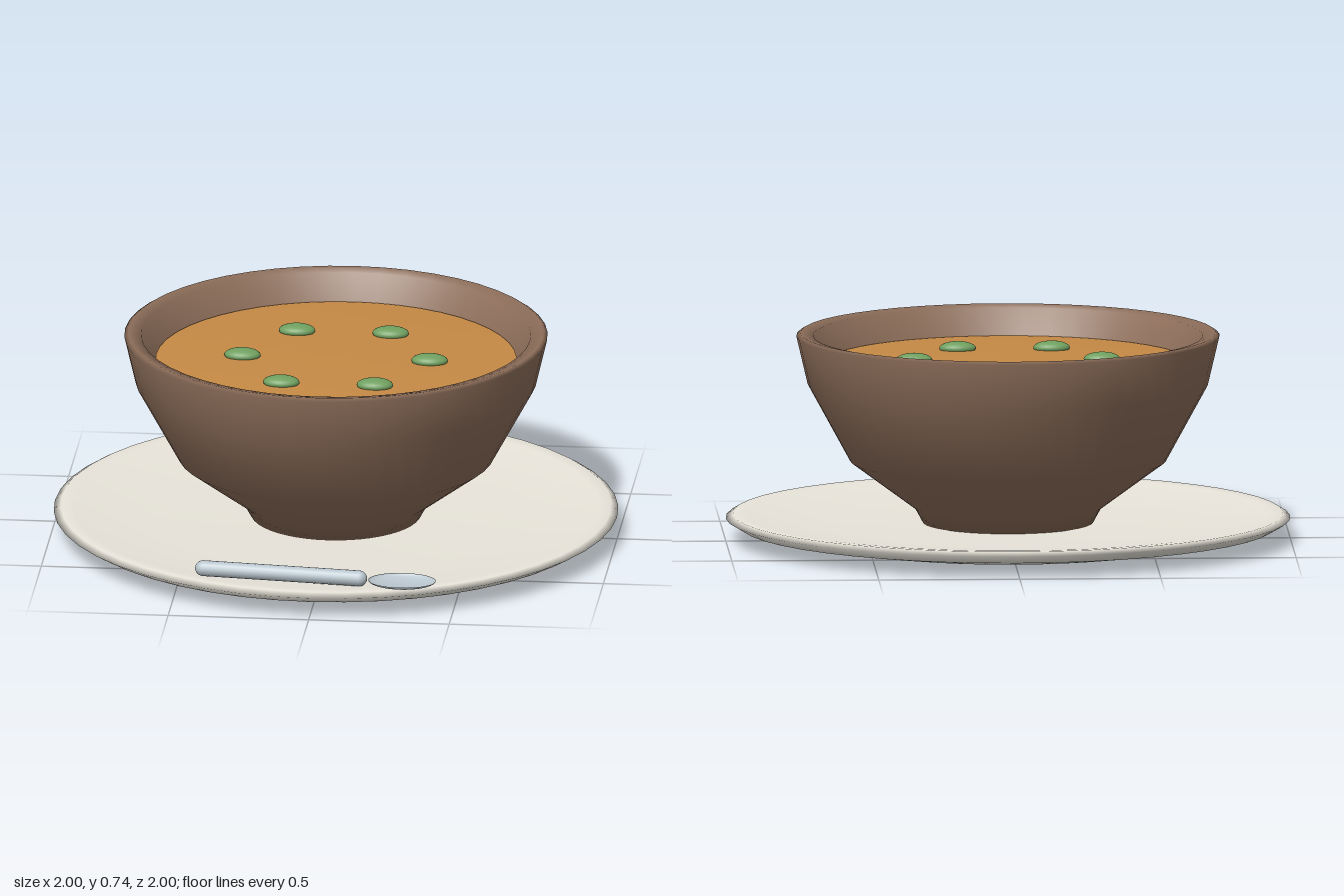
import * as THREE from 'three';

const mat = (color, side = THREE.FrontSide) => new THREE.MeshStandardMaterial({ color, side });

export function createModel() {
  const model = new THREE.Group();
  model.name = 'soupBowl';

  const add = (name, geometry, material) => {
    const mesh = new THREE.Mesh(geometry, material);
    mesh.name = name;
    model.add(mesh);
    return mesh;
  };
  const lathe = (points) =>
    new THREE.LatheGeometry(points.map(([r, y]) => new THREE.Vector2(r, y)), 48);

  // Saucer: flat base, flared underside, rounded lip and shallow well
  add('saucer', lathe([
    [0, 0], [0.67, 0.005], [0.95, 0.05], [1, 0.08], [0.975, 0.095],
    [0.93, 0.092], [0.65, 0.065], [0, 0.06],
  ]), mat(0xe8e4da));

  // Bowl: narrow foot, flared wall, thick lip and inner wall
  add('bowl', lathe([
    [0, 0.06], [0.3, 0.06], [0.33, 0.115], [0.56, 0.285], [0.71, 0.56],
    [0.75, 0.73], [0.735, 0.74], [0.69, 0.73], [0.64, 0.62], [0.5, 0.32], [0, 0.18],
  ]), mat(0x8d6e5a));

  // Soup: shallow disc with a softly shaded edge
  add('soup', lathe([[0.62, 0.6], [0.64, 0.638], [0, 0.638]]), mat(0xc68a45));

  // Six garnish leaves in a ring
  const green = mat(0x6f9f5f);
  const leaf = new THREE.SphereGeometry(1, 20, 14).scale(0.065, 0.024, 0.043);
  for (let i = 0; i < 6; i++) {
    const a = (i * Math.PI) / 3;
    add('garnish', leaf, green).position.set(0.333 * Math.cos(a), 0.645, 0.333 * Math.sin(a));
  }

  // Spoon handle: round bar with rounded ends
  const steel = mat(0xbac6ce, THREE.DoubleSide);
  const from = new THREE.Vector3(-0.42, 0.125, 0.832);
  const to = new THREE.Vector3(0.195, 0.115, 0.868);
  const dir = to.clone().sub(from);
  const radius = 0.028;
  const handle = add('spoonHandle',
    new THREE.CapsuleGeometry(radius, dir.length() - 2 * radius, 5, 16), steel);
  handle.position.copy(from).add(to).multiplyScalar(0.5);
  handle.quaternion.setFromUnitVectors(new THREE.Vector3(0, 1, 0), dir.normalize());

  // Spoon head: open, shallow half ellipsoid
  const head = new THREE.SphereGeometry(1, 32, 10, 0, Math.PI * 2, Math.PI / 2, Math.PI / 2)
    .scale(0.12, 0.022, 0.082);
  add('spoonHead', head, steel).position.set(0.32, 0.116, 0.875);

  return model;
}
